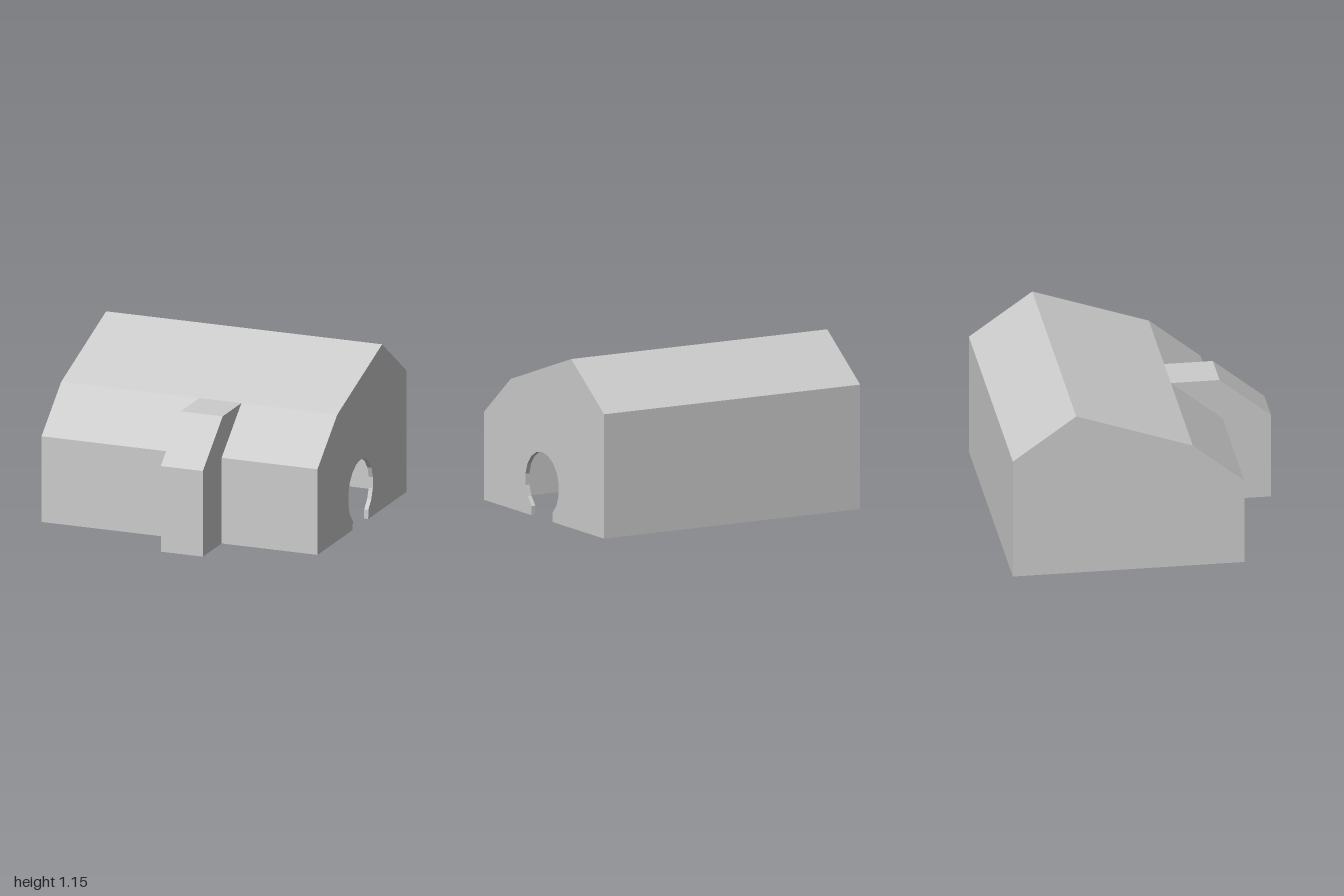
import * as THREE from 'three';

const material = new THREE.MeshStandardMaterial({ color: 0xcccccc, flatShading: true });
const T = 0.03; // wall thickness
const PORCH = [0, 0.305]; // porch extent along x

// Extrudes a [z, y] outline along x from x0 to x1.
function slab(name, points, x0, x1) {
  const shape = new THREE.Shape(points.map(([z, y]) => new THREE.Vector2(z, y)));
  const geometry = new THREE.ExtrudeGeometry(shape, { depth: x1 - x0, bevelEnabled: false });
  geometry.rotateY(-Math.PI / 2).translate(x1, 0, 0);
  const mesh = new THREE.Mesh(geometry, material);
  mesh.name = name;
  return mesh;
}

export function createModel() {
  const house = new THREE.Group();
  house.name = 'house';
  const add = (...args) => house.add(slab(...args));

  // House cross-section, front to back: outer and inner skins
  const outer = [[0.62, 0], [0.62, 0.6], [0.27, 0.885], [-0.52, 1.155], [-0.95, 0.85], [-0.95, 0]];
  const inner = [[0.59, 0], [0.59, 0.585], [0.258, 0.855], [-0.518, 1.12], [-0.92, 0.835], [-0.92, 0]];
  const names = ['frontWall', 'lowerFrontRoof', 'upperFrontRoof', 'backRoof', 'backWall'];
  names.forEach((name, i) => {
    const quad = [outer[i], outer[i + 1], inner[i + 1], inner[i]];
    // The front wall and lower roof are open where the porch joins
    const spans = i < 2 ? [[-1 + T, PORCH[0]], [PORCH[1], 1 - T]] : [[-1 + T, 1 - T]];
    for (const [a, b] of spans) add(name, quad, a, b);
  });

  // Solid gable, and gable with a round doorway open to the ground
  add('rightGable', outer, -1, -1 + T);
  const door = [[-0.275, 0]];
  const neck = Math.asin(0.137 / 0.22);
  const N = 14;
  for (let i = 0; i <= N; i++) {
    const a = -Math.PI / 2 - neck - (i / N) * (2 * Math.PI - 2 * neck);
    door.push([-0.14 + 0.22 * Math.cos(a), 0.235 + 0.22 * Math.sin(a)]);
  }
  door.push([0, 0]);
  add('leftGableWithDoorway', [...outer, ...door], 1 - T, 1);

  // Porch: front, sloping roof, flat roof
  const pOuter = [[0.95, 0], [0.95, 0.6], [0.6, 0.885], [0.27, 0.885]];
  const pInner = [[0.92, 0], [0.92, 0.585], [0.589, 0.855], [0.258, 0.855]];
  ['porchFront', 'porchSlope', 'porchFlatRoof'].forEach((name, i) => {
    add(name, [pOuter[i], pOuter[i + 1], pInner[i + 1], pInner[i]], PORCH[0] + T, PORCH[1] - T);
  });

  // Porch side walls
  const cheek = [...pOuter, inner[2], inner[1], inner[0]];
  add('porchSide', cheek, PORCH[0], PORCH[0] + T);
  add('porchSide', cheek, PORCH[1] - T, PORCH[1]);

  // Slim rail and short blocks under the bend of the front roof
  add('roofRail', [[0.24, 0.825], [0.24, 0.84], [0.2, 0.84], [0.2, 0.825]], -1 + T, 1 - T);
  for (let i = 0; i < 8; i++) {
    const x = -0.875 + i * 0.25;
    add('railBlock', [[0.235, 0.84], [0.235, 0.864], [0.21, 0.872], [0.21, 0.84]], x - 0.012, x + 0.012);
  }
  return house;
}
